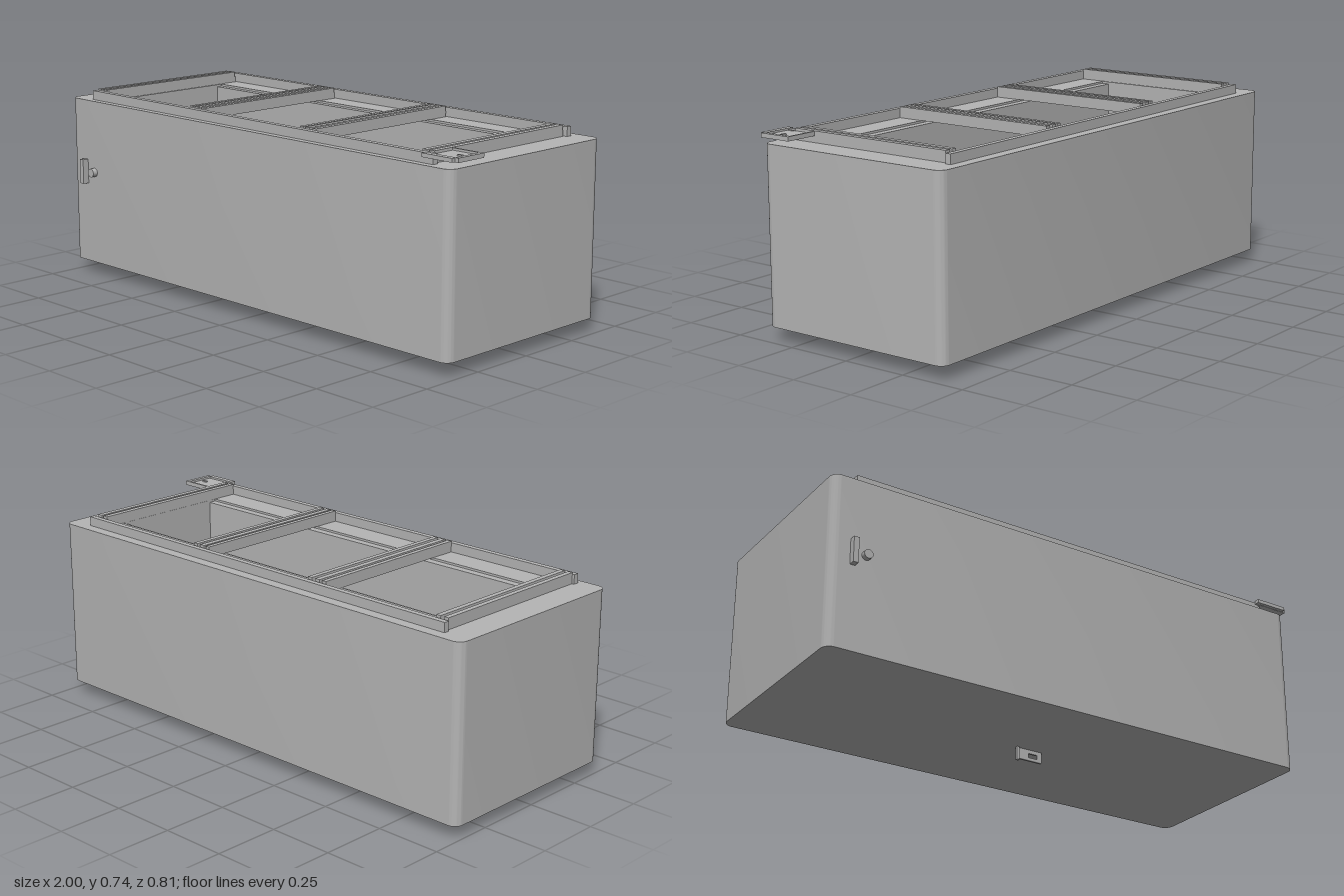
import * as THREE from 'three';
import { toCreasedNormals } from 'three/addons/utils/BufferGeometryUtils.js';

const grey = new THREE.MeshStandardMaterial({ color: 0xb4b4b4 });
grey.name = 'grey metal';

function add(parent, name, geometry) {
  const mesh = new THREE.Mesh(geometry, grey);
  mesh.name = name;
  parent.add(mesh);
  return mesh;
}

// Box given by its limits on each axis
function box(parent, name, x0, x1, y0, y1, z0, z1) {
  const mesh = add(parent, name, new THREE.BoxGeometry(x1 - x0, y1 - y0, z1 - z0));
  mesh.position.set((x0 + x1) / 2, (y0 + y1) / 2, (z0 + z1) / 2);
  return mesh;
}

// Rounded cabinet ring with a rectangular well, extruded upwards
function cabinetRing(parent, name, y0, y1, holeBack, holeFront) {
  const x0 = -1, x1 = 0.98, a = -0.38, b = 0.405, r = 0.035; // shape y is -z
  const s = new THREE.Shape();
  s.moveTo(x0 + r, a);
  s.lineTo(x1 - r, a);
  s.absarc(x1 - r, a + r, r, -Math.PI / 2, 0);
  s.absarc(x1 - r, b - r, r, 0, Math.PI / 2);
  s.absarc(x0 + r, b - r, r, Math.PI / 2, Math.PI);
  s.absarc(x0 + r, a + r, r, Math.PI, Math.PI * 1.5);
  const h = new THREE.Path();
  h.moveTo(-0.83, -holeFront);
  h.lineTo(-0.83, -holeBack);
  h.lineTo(0.815, -holeBack);
  h.lineTo(0.815, -holeFront);
  h.closePath();
  s.holes.push(h);
  let g = new THREE.ExtrudeGeometry(s, { depth: y1 - y0, bevelEnabled: false, curveSegments: 8 });
  g.rotateX(-Math.PI / 2);
  g.translate(0, y0, 0);
  g = toCreasedNormals(g, Math.PI / 6);
  add(parent, name, g);
}

export function createModel() {
  const model = new THREE.Group();
  model.name = 'chestCabinet';

  // Cabinet with a deep well and a shallow step around its mouth
  const cabinet = new THREE.Group();
  cabinet.name = 'cabinet';
  model.add(cabinet);
  cabinetRing(cabinet, 'cabinetWalls', 0.05, 0.687, -0.232, 0.2);
  cabinetRing(cabinet, 'cabinetRim', 0.687, 0.695, -0.255, 0.23);
  box(cabinet, 'cabinetFloor', -0.83, 0.815, 0.05, 0.1, -0.232, 0.2);

  // Long rails at front and back
  const frame = new THREE.Group();
  frame.name = 'topFrame';
  model.add(frame);
  box(frame, 'backRail', -0.897, 0.882, 0.695, 0.73, -0.363, -0.342);
  box(frame, 'frontRail', -0.897, 0.882, 0.695, 0.73, 0.332, 0.354);

  // Cross bars: a low beam carrying two or three ridges
  const bars = [
    [[-0.888, -0.869], [-0.855, -0.836]],
    [[-0.342, -0.324], [-0.312, -0.291], [-0.276, -0.257]],
    [[0.243, 0.261], [0.27, 0.291], [0.305, 0.324]],
    [[0.816, 0.837], [0.848, 0.869]],
  ];
  for (const ridges of bars) {
    const left = ridges[0][0], right = ridges[ridges.length - 1][1];
    box(frame, 'crossBeam', left, right, 0.695, 0.717, -0.336, 0.332);
    for (const [x0, x1] of ridges) box(frame, 'barRidge', x0, x1, 0.717, 0.736, -0.333, 0.333);
  }

  // Corner tray overhanging the front corner
  const tray = new THREE.Group();
  tray.name = 'cornerTray';
  model.add(tray);
  box(tray, 'trayPlate', 0.872, 1, 0.719, 0.727, 0.24, 0.365);
  box(tray, 'trayTongue', 0.855, 0.985, 0.72, 0.734, 0.358, 0.379);
  box(tray, 'traySideRim', 0.984, 1, 0.727, 0.735, 0.24, 0.365);
  box(tray, 'trayBackRim', 0.872, 0.984, 0.727, 0.735, 0.24, 0.248);
  box(tray, 'trayTab', 0.945, 0.965, 0.727, 0.732, 0.3, 0.31);

  // Handle and round lock on the front
  box(model, 'handle', -0.925, -0.905, 0.365, 0.461, 0.38, 0.405);
  const lock = add(model, 'lock', new THREE.CylinderGeometry(0.017, 0.017, 0.02, 24));
  lock.rotation.x = Math.PI / 2;
  lock.position.set(-0.865, 0.413, 0.39);

  // Small slotted bracket under the floor
  const bracket = new THREE.Group();
  bracket.name = 'bottomBracket';
  model.add(bracket);
  const plate = new THREE.Shape();
  plate.moveTo(-0.005, 0.008);
  plate.lineTo(0.095, 0.008);
  plate.lineTo(0.095, 0.05);
  plate.lineTo(-0.005, 0.05);
  const slot = new THREE.Path();
  slot.moveTo(0.038, 0.02);
  slot.lineTo(0.038, 0.036);
  slot.lineTo(0.076, 0.036);
  slot.lineTo(0.076, 0.02);
  plate.holes.push(slot);
  const plateMesh = add(bracket, 'bracketPlate',
    new THREE.ExtrudeGeometry(plate, { depth: 0.008, bevelEnabled: false }));
  plateMesh.position.z = -0.015;
  box(bracket, 'bracketPost', -0.016, -0.005, 0, 0.05, -0.011, 0.001);

  return model;
}
